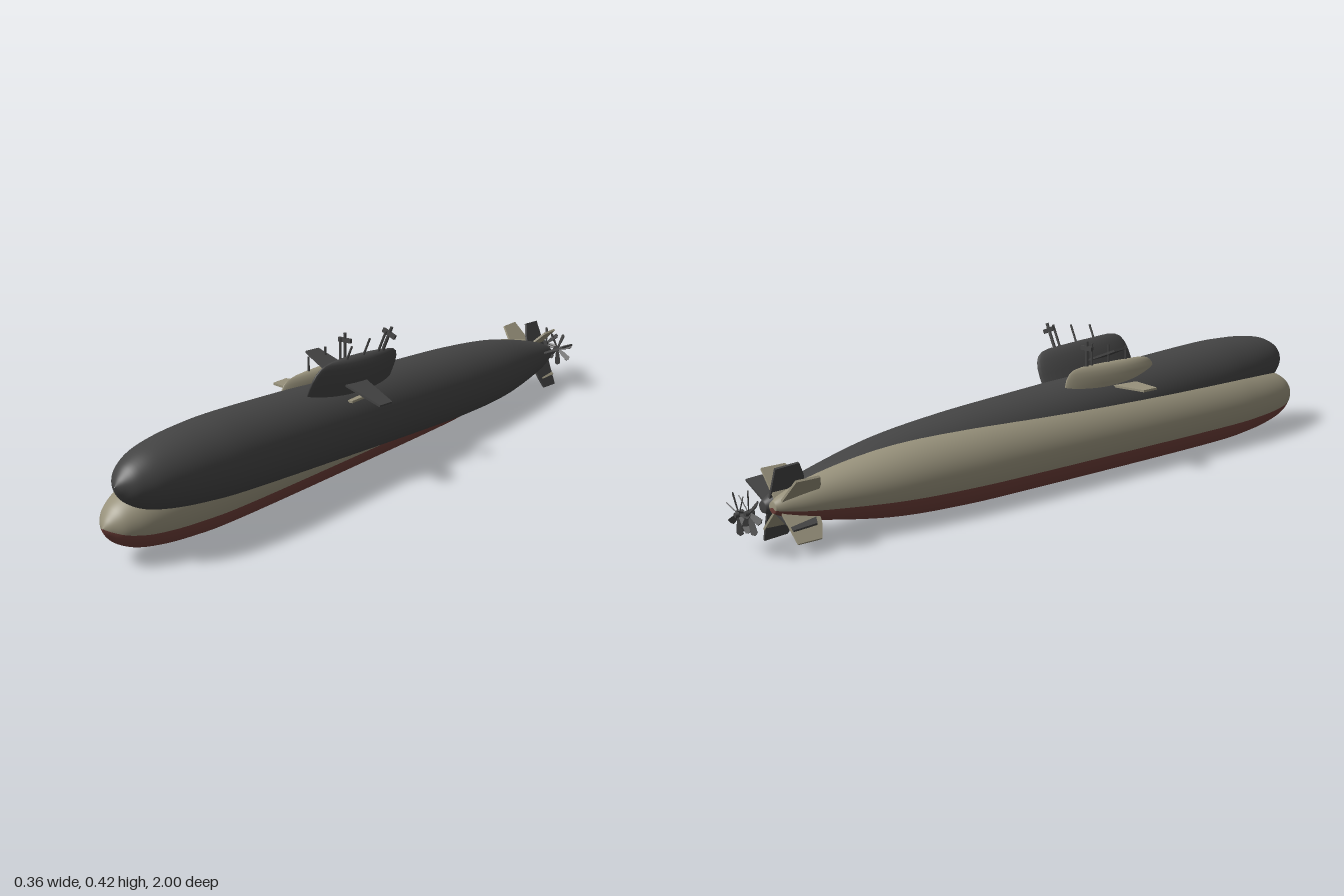
import * as THREE from 'three';
import { mergeVertices } from 'three/addons/utils/BufferGeometryUtils.js';

const V2 = (x, y) => new THREE.Vector2(x, y);

function add(parent, name, geometry, material) {
  const mesh = new THREE.Mesh(geometry, material);
  mesh.name = name;
  parent.add(mesh);
  return mesh;
}

// Hull radius along z, stern to bow, smoothed
const hullProfile = new THREE.SplineCurve([
  V2(0.014, -0.925), V2(0.03, -0.89), V2(0.055, -0.8), V2(0.09, -0.6), V2(0.104, -0.4),
  V2(0.108, -0.15), V2(0.108, 0.55), V2(0.099, 0.76), V2(0.079, 0.89), V2(0.052, 0.955),
  V2(0.022, 0.985), V2(0.001, 0.997),
]).getPoints(66);

// Part of the hull shell; angles start at the keel
function hullShell(start, sweep, segments) {
  const points = [V2(0, -0.925), ...hullProfile];
  return new THREE.LatheGeometry(points, segments, start, sweep).rotateX(Math.PI / 2);
}

// Flat blade outlined in (x, z), centred on y = 0
function blade(outline, thickness) {
  const shape = new THREE.Shape(outline.map(([x, z]) => V2(x, z)));
  return new THREE.ExtrudeGeometry(shape, { depth: thickness, bevelEnabled: false })
    .translate(0, 0, -thickness / 2)
    .rotateX(Math.PI / 2);
}

// Sail: a lathe squeezed into a lens-shaped plan with a domed top
function sailGeometry() {
  const profile = [[1, 0.06], [1, 0.13], [0.97, 0.15], [0.88, 0.169], [0.72, 0.184],
    [0.5, 0.194], [0.25, 0.199], [0, 0.2]].map(([r, y]) => V2(r, y));
  const g = new THREE.LatheGeometry(profile, 40);
  const p = g.attributes.position;
  for (let i = 0; i < p.count; i++) {
    const x = p.getX(i), z = p.getZ(i), r = Math.hypot(x, z);
    if (r < 1e-6) { p.setXYZ(i, 0, p.getY(i), 0.195); continue; }
    const s = x / r;
    p.setX(i, Math.sign(s) * Math.pow(Math.abs(s), 1.35) * r * 0.032);
    p.setZ(i, 0.195 + (z / r) * Math.pow(r, 0.3) * 0.18);
  }
  g.deleteAttribute('uv');
  g.deleteAttribute('normal');
  const merged = mergeVertices(g, 1e-5);
  merged.computeVertexNormals();
  return merged;
}

function submarine(name, topMat, keelMat, fittingMat) {
  const sub = new THREE.Group();
  sub.name = name;

  // Hull, split along radial lines into keel and upper shell
  const half = THREE.MathUtils.degToRad(69.5);
  add(sub, 'lowerHull', hullShell(-half, 2 * half, 28), keelMat);
  add(sub, 'upperHull', hullShell(half, 2 * Math.PI - 2 * half, 44), topMat);

  // Sail and its diving planes
  add(sub, 'sail', sailGeometry(), topMat);
  const planes = add(sub, 'sailPlanes', blade([
    [-0.136, 0.19], [-0.03, 0.175], [0.03, 0.175], [0.136, 0.19],
    [0.136, 0.243], [0.03, 0.262], [-0.03, 0.262], [-0.136, 0.243],
  ], 0.006), topMat);
  planes.position.y = 0.136;

  // Masts: z, top height, radius
  for (const [z, top, r] of [[0.255, 0.238, 0.003], [0.185, 0.25, 0.003],
    [0.12, 0.262, 0.0035], [0.1, 0.27, 0.0045]]) {
    const mast = add(sub, 'mast', new THREE.CylinderGeometry(r, r, top - 0.17, 10), fittingMat);
    mast.position.set(0, (top + 0.17) / 2, z);
  }
  const bar = add(sub, 'mastCrossbar', new THREE.BoxGeometry(0.043, 0.012, 0.008), fittingMat);
  bar.position.set(0, 0.25, 0.1);

  // Four tail fins in an X
  const fin = blade([[0.015, -0.91], [0.108, -0.906], [0.108, -0.84], [0.07, -0.822],
    [0.04, -0.815], [0.015, -0.81]], 0.006);
  for (let i = 0; i < 4; i++) {
    add(sub, 'tailFin', fin, topMat).rotation.z = Math.PI / 4 + (i * Math.PI) / 2;
  }

  // Seven-bladed propeller
  const propeller = new THREE.Group();
  propeller.name = 'propeller';
  propeller.position.z = -0.988;
  sub.add(propeller);
  add(propeller, 'propellerHub',
    new THREE.CylinderGeometry(0.01, 0.006, 0.022, 16).rotateX(Math.PI / 2), fittingMat);
  const propBlade = blade([[0.005, -0.004], [0.03, -0.008], [0.05, -0.009], [0.055, 0],
    [0.05, 0.008], [0.03, 0.007], [0.005, 0.004]], 0.002).rotateX(0.95);
  for (let i = 0; i < 7; i++) {
    add(propeller, 'propellerBlade', propBlade, fittingMat).rotation.z =
      Math.PI / 2 + (i * 2 * Math.PI) / 7;
  }
  return sub;
}

export function createModel() {
  const material = (name, color) => {
    const m = new THREE.MeshStandardMaterial({ color });
    m.name = name;
    return m;
  };
  const charcoal = material('charcoal', 0x444444);
  const beige = material('beige', 0x97917b);
  const red = material('keelRed', 0x70403a);

  const model = new THREE.Group();
  model.name = 'submarines';

  // Upright two-tone boat
  const lower = submarine('beigeSubmarine', beige, red, charcoal);
  lower.position.set(-0.043, 0.108, 0);
  model.add(lower);

  // Dark boat, rolled to its left with the bow raised
  const upper = submarine('darkSubmarine', charcoal, charcoal, charcoal);
  upper.position.set(0, 0.157, -0.003);
  upper.rotation.set(-0.062, 0, -0.384);
  model.add(upper);
  return model;
}
